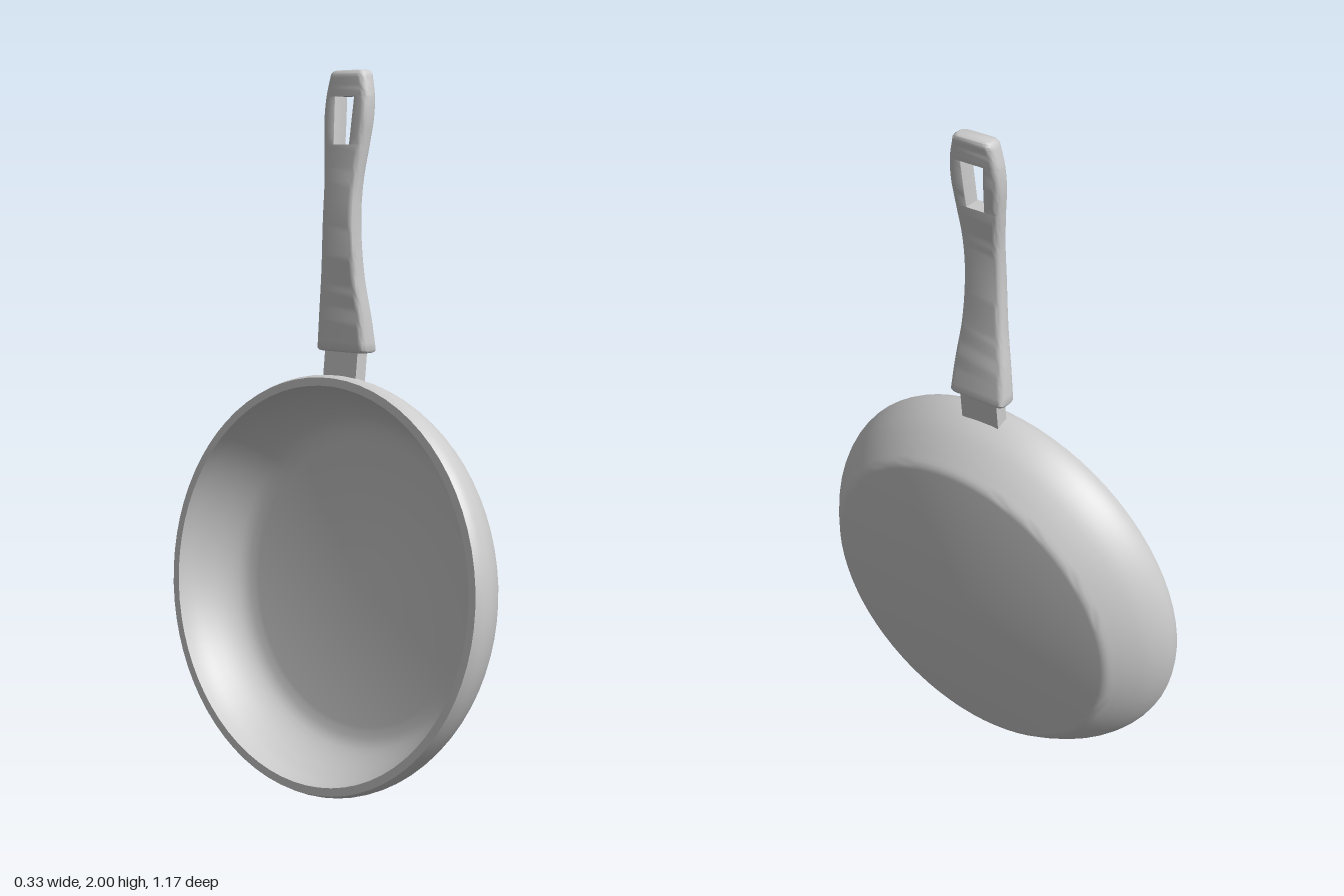
import * as THREE from 'three';
import { toCreasedNormals } from 'three/addons/utils/BufferGeometryUtils.js';

const material = new THREE.MeshStandardMaterial({ color: 0xcccccc });

function part(name, geometry) {
  const mesh = new THREE.Mesh(geometry, material);
  mesh.name = name;
  return mesh;
}

const spline = (pairs, n) =>
  new THREE.SplineCurve(pairs.map(([x, y]) => new THREE.Vector2(x, y))).getPoints(n);

// Handle rule by height: centre x, half thickness, half width
const handleY = [1.24, 1.33, 1.45, 1.6, 1.7, 1.8, 1.87, 1.93, 1.97, 2.0];
const handleShape = [
  0.03, 0.033, 0.089, 0.024, 0.029, 0.081, 0.014, 0.026, 0.066, 0.011, 0.025, 0.058, 0.019, 0.024, 0.06,
  0.032, 0.025, 0.07, 0.04, 0.026, 0.077, 0.046, 0.026, 0.075, 0.049, 0.027, 0.066, 0.052, 0.028, 0.058,
];
const shapeAt = new THREE.CubicInterpolant(handleY, handleShape, 3, new Float32Array(3));
const handleZ = 0.009;

// Rounded rectangle at height y between z0 and z1, with one corner radius per side
function section(y, z0, z1, r0, r1, inset = 0) {
  const [cx, hx] = shapeAt.evaluate(y);
  const h = hx - inset;
  const corners = [
    [z1 - inset, h, r1, 1, 1, 0], [z0 + inset, h, r0, -1, 1, 1],
    [z0 + inset, -h, r0, -1, -1, 2], [z1 - inset, -h, r1, 1, -1, 3],
  ];
  const ring = [];
  for (const [z, x, r, sz, sx, q] of corners) {
    for (let i = 0; i <= 4; i++) {
      const a = (q + i / 4) * Math.PI / 2;
      ring.push([cx + x - sx * r + r * Math.sin(a), y, handleZ + z - sz * r + r * Math.cos(a)]);
    }
  }
  return ring;
}

// Skin over a stack of rings from bottom to top, closed at both ends
function loft(rings) {
  const n = rings[0].length, pos = rings.flat(2), index = [];
  for (let j = 0; j < rings.length - 1; j++) {
    for (let i = 0; i < n; i++) {
      const a = j * n + i, b = j * n + (i + 1) % n;
      index.push(a, b, a + n, b, b + n, a + n);
    }
  }
  const last = (rings.length - 1) * n;
  for (let i = 1; i < n - 1; i++) {
    index.push(0, i + 1, i, last, last + i, last + i + 1);
  }
  const geo = new THREE.BufferGeometry();
  geo.setAttribute('position', new THREE.Float32BufferAttribute(pos, 3));
  geo.setIndex(index);
  return toCreasedNormals(geo, 0.7);
}

function range(from, to, steps, fn) {
  return Array.from({ length: steps + 1 }, (_, i) => fn(from + (to - from) * i / steps, i / steps));
}

const R = 0.018;
const full = (y, inset = 0) => {
  const w = shapeAt.evaluate(y)[2];
  return section(y, -w, w, R, R, inset);
};

export function createModel() {
  const model = new THREE.Group();
  model.name = 'fryingPan';

  // Pan bowl: inside floor and wall, flat lip, rounded outside, flat base
  const inside = spline([[0.41, 0.19], [0.46, 0.176], [0.505, 0.132], [0.539, 0.075], [0.552, 0.035], [0.556, 0]], 16);
  const outside = spline([[0.579, 0], [0.587, 0.025], [0.582, 0.065], [0.56, 0.115], [0.525, 0.162], [0.488, 0.202]], 16);
  const profile = [
    new THREE.Vector2(0, 0.19), ...inside, ...outside,
    new THREE.Vector2(0.479, 0.209), new THREE.Vector2(0.466, 0.213), new THREE.Vector2(0, 0.213),
  ];
  const bowl = part('panBowl', toCreasedNormals(new THREE.LatheGeometry(profile, 72), 0.7));
  bowl.position.set(-0.1, 0.589, 0);
  const axis = new THREE.Vector3(1, -0.112, 0.031).normalize();
  bowl.quaternion.setFromUnitVectors(new THREE.Vector3(0, 1, 0), axis);
  model.add(bowl);

  // Metal neck between bowl and handle
  const neck = part('neck', new THREE.BoxGeometry(0.04, 0.12, 0.12));
  neck.position.set(0.024, 1.2, handleZ);
  neck.rotation.z = -0.112;
  model.add(neck);

  // Handle: grip, two rails beside the hanging hole, and the end bridge
  const handle = new THREE.Group();
  handle.name = 'handle';
  const holeBottom = 1.8, holeTop = 1.93;
  handle.add(part('grip', loft([
    full(1.234, 0.008), full(1.236, 0.003), ...range(1.242, holeBottom, 28, (y) => full(y)),
  ])));
  for (const side of [-1, 1]) {
    const rail = range(holeBottom, holeTop, 8, (y, t) => {
      const w = shapeAt.evaluate(y)[2], hole = 0.027 + 0.007 * t;
      return side > 0 ? section(y, hole, w, 0.003, R) : section(y, -w, -hole, R, 0.003);
    });
    handle.add(part(side > 0 ? 'leftRail' : 'rightRail', loft(rail)));
  }
  handle.add(part('endBridge', loft([
    ...range(holeTop, 1.99, 6, (y) => full(y)), full(1.997, 0.003), full(2, 0.008),
  ])));
  model.add(handle);

  return model;
}
